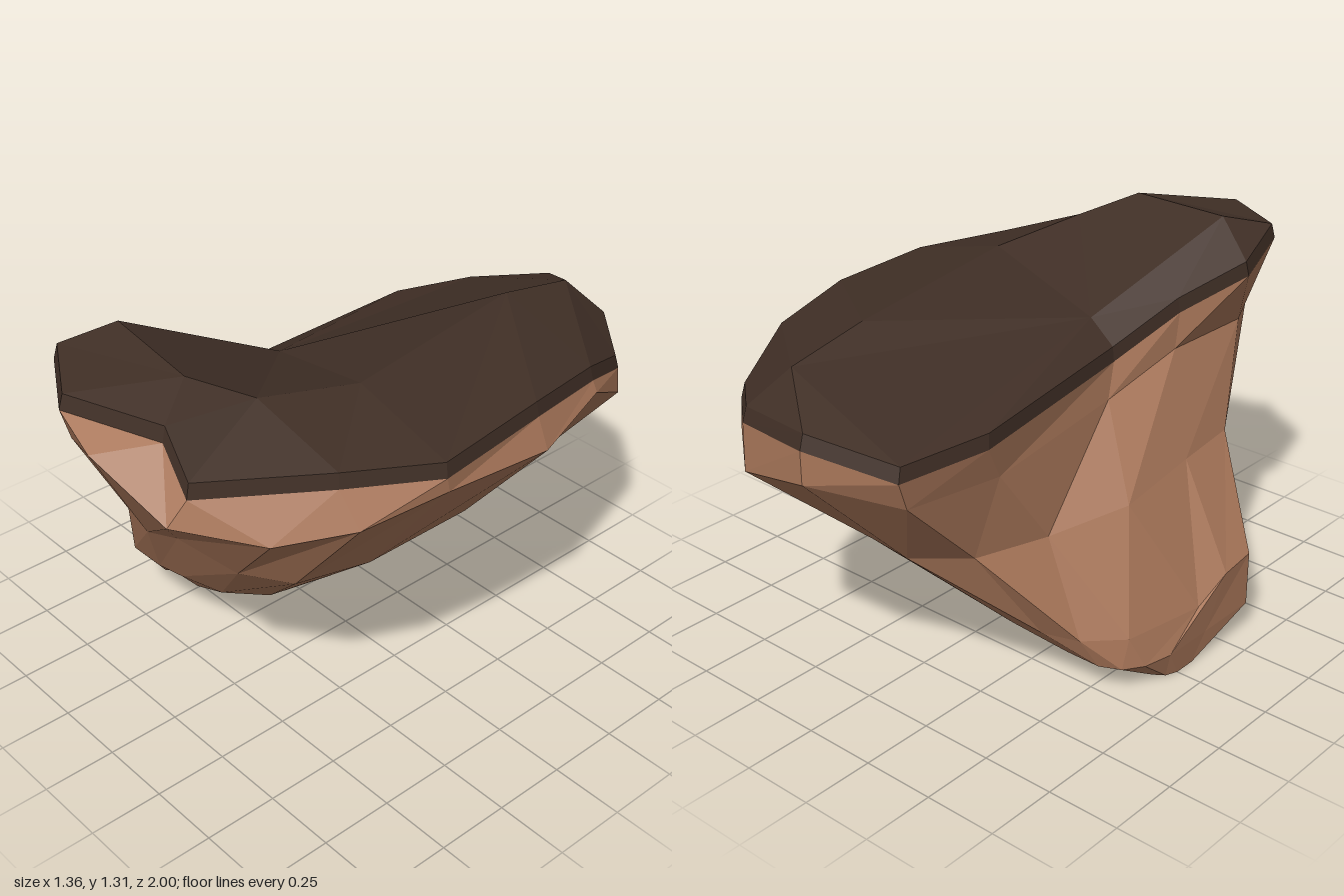
import * as THREE from 'three';

const N = 16; // columns, running back -> left (+x) -> front -> right (-x)

// Faceted skin through a stack of closed rings, listed from bottom to top
function loft(name, rings, color) {
  const pos = [];
  const tri = (...pts) => {
    const area = new THREE.Triangle(...pts).getArea();
    if (area > 1e-6) pts.forEach(p => pos.push(p.x, p.y, p.z));
  };
  for (let r = 0; r + 1 < rings.length; r++) {
    const a = rings[r], b = rings[r + 1];
    for (let k = 0; k < N; k++) {
      const n = (k + 1) % N;
      tri(a[k], b[k], a[n]);
      tri(a[n], b[k], b[n]);
    }
  }
  const geo = new THREE.BufferGeometry();
  geo.setAttribute('position', new THREE.Float32BufferAttribute(pos, 3));
  geo.computeVertexNormals();
  const mesh = new THREE.Mesh(geo, new THREE.MeshStandardMaterial({ color, flatShading: true }));
  mesh.name = name;
  return mesh;
}

const ring = pts => pts.map(p => new THREE.Vector3(...p));
const point = p => Array(N).fill(p);

// Squarish oval for the underside of the foot, tipped up towards +x
function oval(cx, y, cz, rx, rz, tip) {
  const soft = v => Math.sign(v) * Math.abs(v) ** 0.7;
  return Array.from({ length: N }, (_, k) => {
    const a = ((k - 0.5) / N) * Math.PI * 2;
    const dx = rx * soft(Math.sin(a));
    return new THREE.Vector3(cx + dx, y + dx * tip, cz - rz * soft(Math.cos(a)));
  });
}

export function createModel() {
  const group = new THREE.Group();
  group.name = 'leaningRock';

  // Foot and waist of the leaning stalk, with one sharp toe at the front right
  const sole = oval(-0.52, 0.014, 0.04, 0.14, 0.125, 0.1);
  const ankle = oval(-0.47, 0.095, 0.04, 0.2, 0.3, 0);
  ankle[10].set(-0.56, 0.09, 0.36);
  ankle[11].set(-0.68, 0.11, 0.35);
  const foot = ring([
    [-0.38, 0.2, -0.35], [-0.25, 0.18, -0.34], [-0.15, 0.18, -0.29], [-0.06, 0.2, -0.2],
    [0, 0.23, -0.05], [-0.02, 0.23, 0.12], [-0.07, 0.22, 0.28], [-0.18, 0.23, 0.4],
    [-0.32, 0.25, 0.46], [-0.42, 0.25, 0.48], [-0.55, 0.26, 0.49], [-0.68, 0.3, 0.35],
    [-0.68, 0.28, 0.22], [-0.66, 0.2, 0.1], [-0.61, 0.2, -0.2], [-0.5, 0.2, -0.31],
  ]);
  const waist = ring([
    [-0.1, 0.5, -0.66], [0.08, 0.49, -0.63], [0.2, 0.51, -0.59], [0.3, 0.56, -0.48],
    [0.36, 0.57, -0.2], [0.36, 0.57, 0.22], [0.27, 0.55, 0.45], [0.11, 0.55, 0.55],
    [-0.12, 0.59, 0.61], [-0.27, 0.54, 0.62], [-0.37, 0.58, 0.62], [-0.47, 0.64, 0.48],
    [-0.48, 0.62, 0.25], [-0.48, 0.57, -0.05], [-0.36, 0.52, -0.3], [-0.28, 0.52, -0.55],
  ]);

  // Widest edge of the body, kidney-shaped in plan
  const skirt = ring([
    [-0.03, 0.86, -1.0], [0.27, 0.79, -0.96], [0.47, 0.83, -0.8], [0.58, 0.98, -0.55],
    [0.675, 0.95, -0.22], [0.675, 0.99, 0.2], [0.61, 0.95, 0.49], [0.5, 0.95, 0.73],
    [0.29, 1.0, 0.93], [0.03, 1.15, 1.0], [-0.28, 1.0, 0.86], [-0.38, 0.96, 0.66],
    [-0.36, 0.95, 0.33], [-0.31, 0.85, 0.05], [-0.34, 0.8, -0.5], [-0.28, 0.8, -0.83],
  ]);

  // Seam between body and cap, dipping on the hollow side
  const lip = ring([
    [-0.03, 0.97, -1.0], [0.27, 0.95, -0.955], [0.46, 0.92, -0.8], [0.56, 1.015, -0.55],
    [0.63, 1.05, -0.22], [0.675, 1.04, 0.21], [0.53, 1.06, 0.5], [0.31, 1.08, 0.87],
    [0.17, 1.19, 0.84], [-0.15, 1.205, 0.97], [-0.4, 1.21, 0.82], [-0.47, 1.16, 0.57],
    [-0.36, 1.07, 0.35], [-0.29, 0.96, 0.1], [-0.36, 0.92, -0.57], [-0.29, 0.9, -0.87],
  ]);
  const soleCentre = point(new THREE.Vector3(-0.52, 0.01, 0.04));
  group.add(loft('stalk', [soleCentre, sole, ankle, foot, waist, skirt, lip], 0xa87659));

  // Cap: a thin dark rim rising to a bent ridge that falls into a valley
  const rim = lip.map(p => new THREE.Vector3(p.x * 0.985, p.y + 0.05, p.z * 0.985));
  const ridge = ring([
    [0.17, 1.12, -0.84], [0.17, 1.175, -0.55], [0.29, 1.185, 0.2],
    [0.21, 1.23, 0.53], [0.07, 1.3, 0.68], [-0.31, 1.31, 0.64], [-0.17, 1.07, 0.13],
  ]);
  const crown = [0, 0, 0, 1, 1, 2, 3, 3, 4, 4, 5, 5, 6, 6, 6, 0].map(i => ridge[i]);
  group.add(loft('cap', [lip, rim, crown, point(ridge[6])], 0x402f26));

  return group;
}
